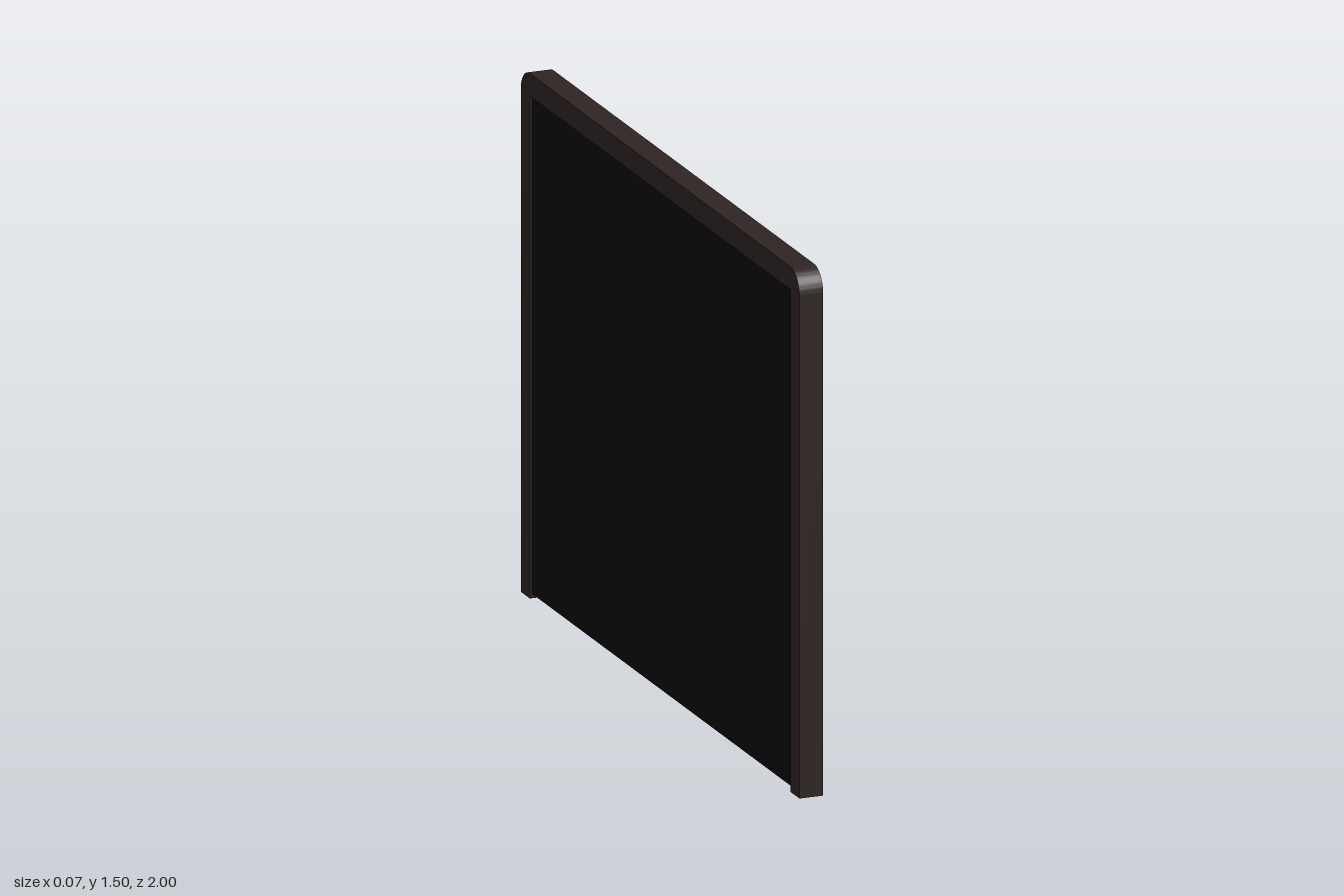
import * as THREE from 'three';
import { toCreasedNormals } from 'three/addons/utils/BufferGeometryUtils.js';

const frameMat = new THREE.MeshStandardMaterial({ color: 0x2e2423 });
frameMat.name = 'dark brown';
const blackMat = new THREE.MeshStandardMaterial({ color: 0x0b0b0b });
blackMat.name = 'black';

// Upside-down U outline in the z-y plane, extruded from x0 to x1
function arch(name, { half, top, innerHalf, innerTop, base, radius, x0, x1 }, material) {
  const s = new THREE.Shape();
  s.moveTo(-half, base);
  s.lineTo(-innerHalf, base);
  s.lineTo(-innerHalf, innerTop);
  s.lineTo(innerHalf, innerTop);
  s.lineTo(innerHalf, base);
  s.lineTo(half, base);
  if (radius > 0) {
    s.lineTo(half, top - radius);
    s.absarc(half - radius, top - radius, radius, 0, Math.PI / 2, false);
    s.lineTo(-half + radius, top);
    s.absarc(-half + radius, top - radius, radius, Math.PI / 2, Math.PI, false);
  } else {
    s.lineTo(half, top);
    s.lineTo(-half, top);
  }
  s.closePath();
  const geo = new THREE.ExtrudeGeometry(s, { depth: x1 - x0, bevelEnabled: false, curveSegments: 8 });
  geo.rotateY(Math.PI / 2);
  geo.translate(x0, 0, 0);
  const mesh = new THREE.Mesh(toCreasedNormals(geo, 0.6), material);
  mesh.name = name;
  return mesh;
}

function slab(name, x0, x1, y0, y1, half, material) {
  const mesh = new THREE.Mesh(new THREE.BoxGeometry(x1 - x0, y1 - y0, half * 2), material);
  mesh.position.set((x0 + x1) / 2, (y0 + y1) / 2, 0);
  mesh.name = name;
  return mesh;
}

export function createModel() {
  const model = new THREE.Group();
  model.name = 'framedPanel';

  // Outer frame with rounded top corners, open at the bottom
  model.add(arch('outerFrame', {
    half: 1, top: 1.5, innerHalf: 0.935, innerTop: 1.435, base: 0, radius: 0.065, x0: -0.035, x1: 0.035,
  }, frameMat));

  // Slightly recessed inner trim
  model.add(arch('innerTrim', {
    half: 0.935, top: 1.435, innerHalf: 0.905, innerTop: 1.41, base: 0.006, radius: 0, x0: -0.02, x1: 0.027,
  }, frameMat));

  // Panel with a black backing
  model.add(slab('panel', -0.024, -0.018, 0.013, 1.435, 0.935, frameMat));
  model.add(slab('panelBacking', -0.029, -0.024, 0.013, 1.435, 0.935, blackMat));

  // Small tapered tabs under the top trim
  const tab = new THREE.Shape();
  tab.moveTo(-0.058, 0.025);
  tab.lineTo(-0.04, 0);
  tab.lineTo(0.04, 0);
  tab.lineTo(0.058, 0.025);
  tab.closePath();
  const tabGeo = new THREE.ExtrudeGeometry(tab, { depth: 0.004, bevelEnabled: false });
  tabGeo.rotateY(Math.PI / 2);
  for (const z of [0.808, -0.1]) {
    const mesh = new THREE.Mesh(tabGeo, blackMat);
    mesh.name = 'topTab';
    mesh.position.set(-0.018, 1.385, z);
    model.add(mesh);
  }
  return model;
}
